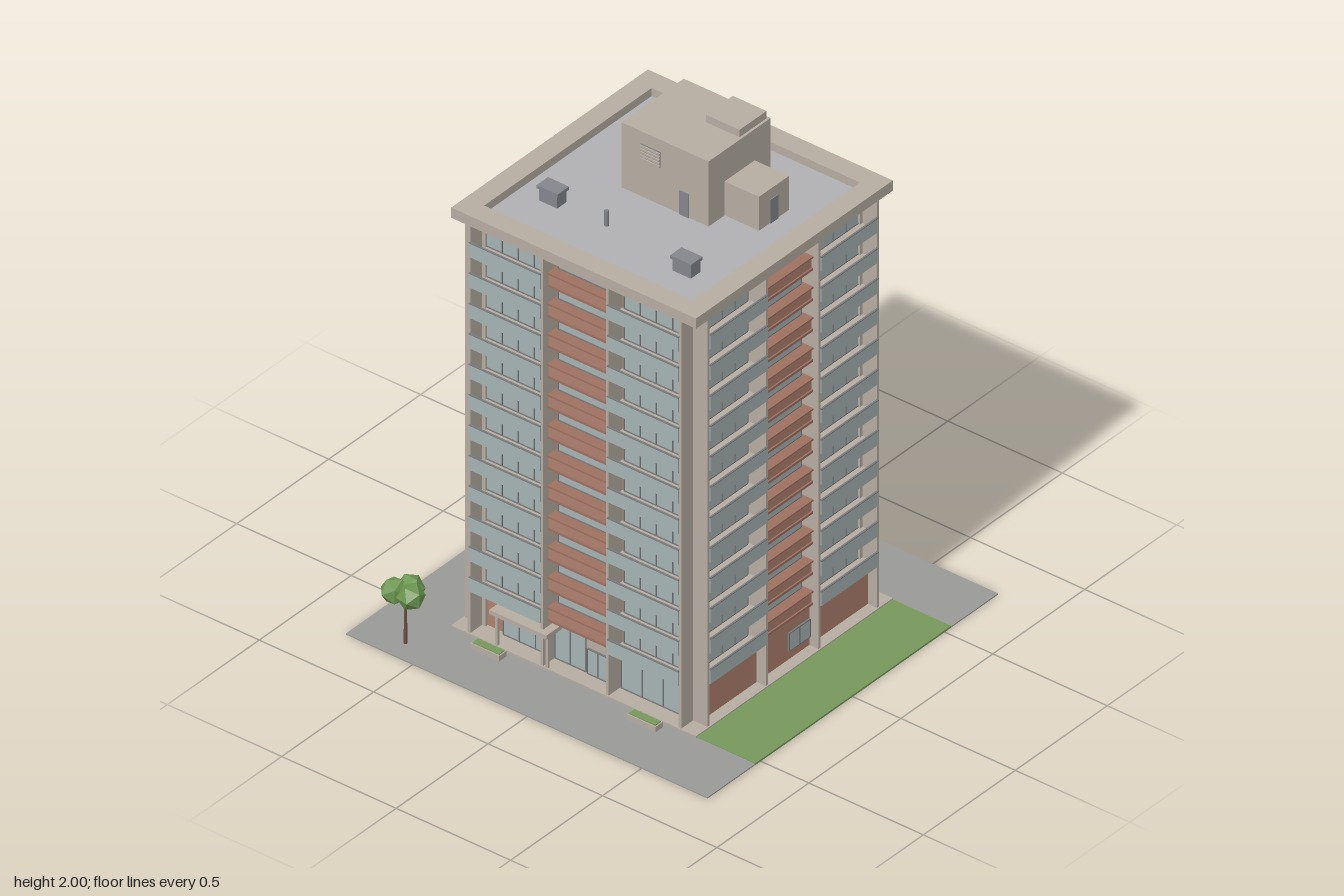
import * as THREE from 'three';

const mat = (color) => new THREE.MeshStandardMaterial({ color });
const CONCRETE = mat(0xb5aca1), BRICK = mat(0xad7f6e), COPING = mat(0x9d7060), GLASS = mat(0xa5b2b2);
const FRAME = mat(0x77787a), PAVING = mat(0x999996), GRASS = mat(0x76985c), DECK = mat(0xb0b0b2);
const METAL = mat(0x84858b), LEAF = mat(0x6b9650), TRUNK = mat(0x6b5040);
LEAF.flatShading = true;

// Box given by its limits on each axis
function box(parent, name, m, x0, x1, y0, y1, z0, z1) {
  const mesh = new THREE.Mesh(new THREE.BoxGeometry(x1 - x0, y1 - y0, z1 - z0), m);
  mesh.position.set((x0 + x1) / 2, (y0 + y1) / 2, (z0 + z1) / 2);
  mesh.name = name;
  parent.add(mesh);
  return mesh;
}

function group(parent, name) {
  const g = new THREE.Group();
  g.name = name;
  parent.add(g);
  return g;
}

const CORE = 0.455, EDGE = 0.53, BASE = 0.19, FLOORS = 12, ROOF = 1.695;
const PITCH = (ROOF - BASE) / FLOORS;

// Glazing with upright mullions and a frame
function glazing(g, name, x0, x1, y0, y1, z, panes) {
  box(g, name, GLASS, x0, x1, y0, y1, z - 0.01, z);
  for (let i = 0; i <= panes; i++) {
    const x = x0 + (x1 - x0) * i / panes;
    box(g, name + 'Mullion', FRAME, x - 0.002, x + 0.002, y0, y1, z - 0.008, z + 0.003);
  }
  for (const y of [y0, y1]) box(g, name + 'Rail', FRAME, x0, x1, y - 0.002, y + 0.002, z - 0.008, z + 0.003);
}

// One upper facade, facing +z
function facade(parent, angle) {
  const g = group(parent, 'facade');
  g.rotation.y = angle;
  for (const s of [-1, 1]) for (const x of [0.143, 0.461])
    box(g, 'fin', CONCRETE, s * x - 0.006, s * x + 0.006, 0.012, ROOF, 0.44, EDGE);

  for (let k = 0; k < FLOORS; k++) {
    const y = BASE + k * PITCH;
    // Balconies in the two outer bays
    for (const s of [-1, 1]) {
      const a = s < 0 ? -0.456 : 0.148, b = a + 0.308;
      box(g, 'balconySlab', CONCRETE, a, b, y - 0.006, y + 0.004, 0.45, EDGE);
      box(g, 'balconyRailing', GLASS, a - 0.002, b + 0.002, y - 0.004, y + 0.053, EDGE + 0.001, EDGE + 0.006);
      box(g, 'handrail', FRAME, a - 0.002, b + 0.002, y + 0.053, y + 0.056, EDGE - 0.001, EDGE + 0.007);
      glazing(g, 'balconyWindow', a + 0.013, b - 0.013, y + 0.008, y + PITCH - 0.017, CORE + 0.004, 4);
    }
    // Brick middle bay with a recessed window
    box(g, 'spandrel', BRICK, -0.137, 0.137, y + 0.004, y + 0.046, 0.45, 0.5);
    box(g, 'sill', COPING, -0.137, 0.137, y + 0.046, y + 0.053, 0.45, 0.508);
    box(g, 'middleSlab', COPING, -0.137, 0.137, y - 0.006, y + 0.004, 0.45, 0.506);
    glazing(g, 'middleWindow', -0.12, 0.12, y + 0.058, y + PITCH - 0.012, CORE + 0.012, 1);
  }
  return g;
}

// Ground floors, one function for each kind of side, all facing +z
function entranceSide(g) {
  const z = CORE + 0.012;
  glazing(g, 'lobbyGlass', -0.36, -0.15, 0.014, 0.175, z, 3);
  glazing(g, 'lobbyGlass', -0.135, 0, 0.014, 0.18, z, 2);
  box(g, 'doorSurround', CONCRETE, 0.002, 0.135, 0.012, 0.186, CORE - 0.01, z);
  glazing(g, 'entranceDoor', 0.01, 0.1, 0.014, 0.115, z + 0.004, 2);
  glazing(g, 'shopGlass', 0.155, 0.43, 0.014, 0.165, z, 3);
  box(g, 'canopy', CONCRETE, -0.355, -0.105, 0.145, 0.162, 0.46, 0.553);
  for (const x of [-0.34, -0.12]) box(g, 'canopyPost', CONCRETE, x - 0.005, x + 0.005, 0.012, 0.145, 0.522, 0.532);
}

function brickSide(g) {
  for (const [a, b] of [[-0.455, -0.149], [-0.137, 0.137], [0.149, 0.455]])
    box(g, 'brickPanel', BRICK, a, b, 0.012, 0.184, 0.44, 0.49);
}

function glazedSide(g) {
  for (const a of [-0.44, -0.135, 0.155]) glazing(g, 'groundGlass', a, a + (a === -0.135 ? 0.27 : 0.285), 0.014, 0.17, CORE + 0.01, 3);
}

function backSide(g) {
  brickSide(g);
  // Pierced block screen
  box(g, 'screen', CONCRETE, -0.40, -0.16, 0.014, 0.175, 0.47, 0.498);
  for (let i = 0; i < 10; i++) for (let j = 0; j < 7; j++) {
    const x = -0.388 + i * 0.024, y = 0.026 + j * 0.022;
    box(g, 'screenHole', FRAME, x - 0.004, x + 0.004, y - 0.004, y + 0.004, 0.49, 0.499);
  }
}

function tree(parent, x, z) {
  const g = group(parent, 'tree');
  g.position.set(x, 0, z);
  const trunk = new THREE.Mesh(new THREE.CylinderGeometry(0.005, 0.007, 0.2, 7), TRUNK);
  trunk.position.y = 0.1;
  trunk.name = 'trunk';
  g.add(trunk);
  [[0, -0.027], [-0.032, 0.022], [0.034, 0.014]].forEach(([dx, dz], i) => {
    const crown = new THREE.Mesh(new THREE.IcosahedronGeometry(0.052, 0), LEAF);
    crown.position.set(dx, 0.22, dz);
    crown.rotation.y = i * 0.7;
    crown.name = 'crown';
    g.add(crown);
  });
}

function roof(parent) {
  const g = group(parent, 'roof');
  // Parapet ring and sunken deck
  const o = 0.535, shape = new THREE.Shape([[-o, -o], [o, -o], [o, o], [-o, o]].map(p => new THREE.Vector2(...p)));
  shape.holes.push(new THREE.Path([[-CORE, -CORE], [-CORE, CORE], [CORE, CORE], [CORE, -CORE]].map(p => new THREE.Vector2(...p))));
  const parapet = new THREE.Mesh(new THREE.ExtrudeGeometry(shape, { depth: 0.042, bevelEnabled: false }), CONCRETE);
  parapet.rotation.x = -Math.PI / 2;
  parapet.position.y = ROOF - 0.002;
  parapet.name = 'parapet';
  g.add(parapet);
  box(g, 'roofDeck', DECK, -CORE, CORE, 1.68, 1.702, -CORE, CORE);
  // Plant rooms
  box(g, 'plantRoom', CONCRETE, -0.19, 0.19, 1.7, 1.97, -0.3, 0.038);
  box(g, 'plantRoomCap', CONCRETE, 0.033, 0.18, 1.97, 2, -0.29, -0.143);
  box(g, 'stairHead', CONCRETE, 0.19, 0.34, 1.7, 1.842, -0.213, -0.05);
  box(g, 'plantRoomDoor', METAL, 0.065, 0.105, 1.702, 1.8, 0.03, 0.042);
  box(g, 'stairHeadDoor', METAL, 0.33, 0.344, 1.702, 1.8, -0.15, -0.108);
  box(g, 'louvreFrame', METAL, -0.105, -0.02, 1.855, 1.92, 0.03, 0.04);
  for (let i = 0; i < 5; i++)
    box(g, 'louvreSlat', CONCRETE, -0.105, -0.02, 1.857 + i * 0.013, 1.864 + i * 0.013, 0.035, 0.045);
  // Vents and pipe
  for (const [x, z] of [[-0.32, 0.25], [-0.32, -0.26], [0.3, 0.295]]) {
    box(g, 'vent', METAL, x - 0.04, x + 0.04, 1.7, 1.752, z - 0.026, z + 0.026);
    box(g, 'ventCap', METAL, x - 0.046, x + 0.046, 1.752, 1.765, z - 0.031, z + 0.031);
  }
  const pipe = new THREE.Mesh(new THREE.CylinderGeometry(0.008, 0.008, 0.065, 12), METAL);
  pipe.position.set(-0.085, 1.733, 0.25);
  pipe.name = 'pipe';
  g.add(pipe);
}

export function createModel() {
  const model = new THREE.Group();
  model.name = 'apartmentTower';

  // Site
  const site = group(model, 'site');
  box(site, 'pavement', PAVING, -0.79, 0.79, 0, 0.005, -0.79, 0.79);
  box(site, 'lawn', GRASS, 0.535, 0.7901, -0.0004, 0.007, -0.535, 0.53);
  box(site, 'plinth', CONCRETE, -0.535, 0.535, 0.003, 0.012, -0.535, 0.535);
  for (const x of [-0.34, 0.343]) {
    box(site, 'planter', CONCRETE, x - 0.063, x + 0.063, 0.004, 0.027, 0.555, 0.595);
    box(site, 'planting', GRASS, x - 0.058, x + 0.058, 0.02, 0.031, 0.56, 0.59);
  }
  tree(site, -0.714, -0.31);
  tree(site, -0.595, 0.708);

  // Tower: brick core wrapped by four facades
  box(model, 'core', BRICK, -CORE, CORE, 0.01, 1.69, -CORE, CORE);
  [entranceSide, brickSide, backSide, glazedSide].forEach((ground, i) => {
    const g = facade(model, i * Math.PI / 2);
    ground(g);
    // Window in the right-hand brick wall
    if (i === 1) glazing(g, 'serviceWindow', 0.02, 0.134, 0.05, 0.122, 0.494, 2);
  });
  roof(model);
  return model;
}
